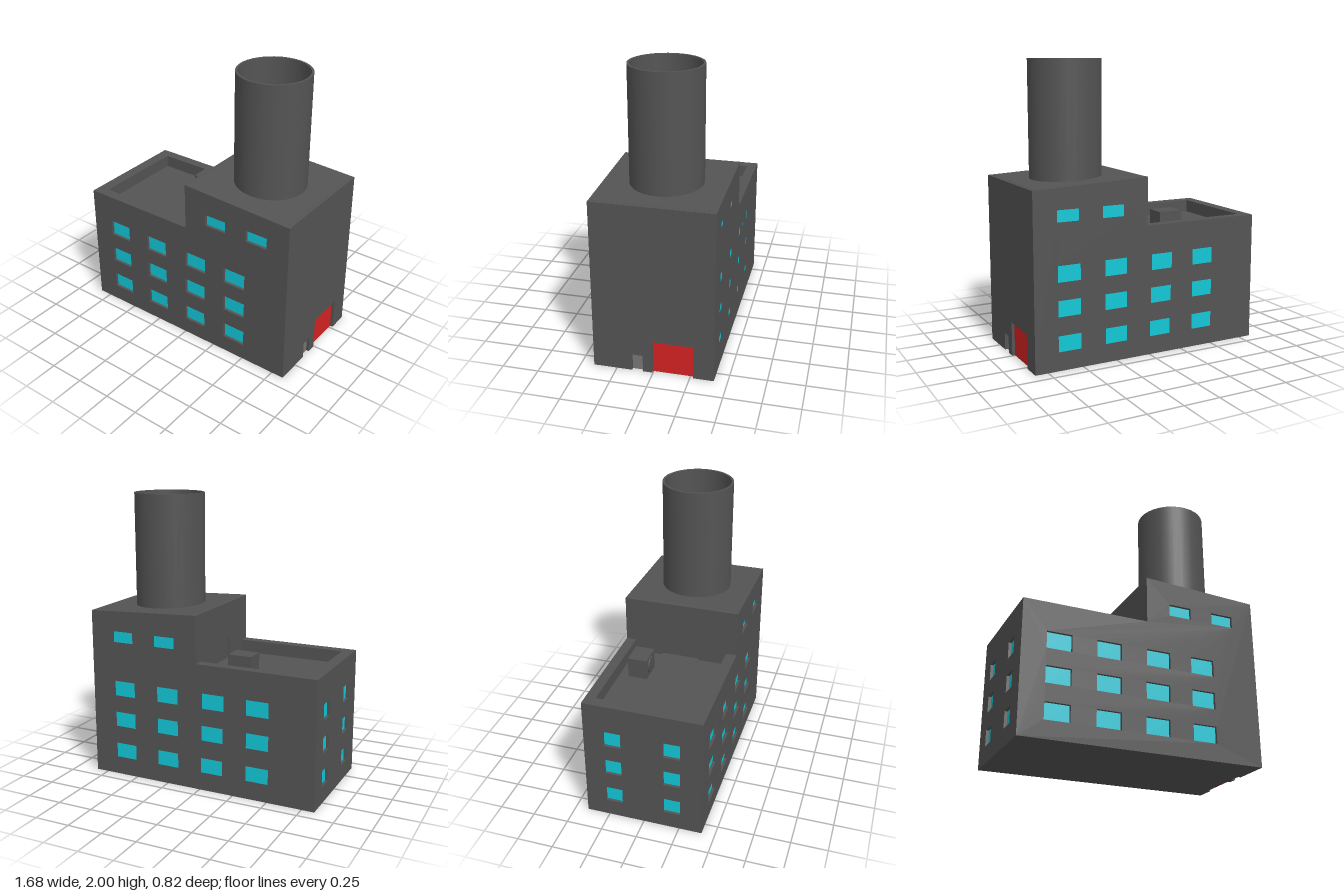
import * as THREE from 'three';

const WALL = new THREE.MeshStandardMaterial({ color: 0x545454, flatShading: true });
const STACK = new THREE.MeshStandardMaterial({ color: 0x545454, side: THREE.DoubleSide });
const GLASS = new THREE.MeshStandardMaterial({ color: 0x12c8d8 });
const RED = new THREE.MeshStandardMaterial({ color: 0xd42222 });
const PALE = new THREE.MeshStandardMaterial({ color: 0x777777 });

const T = 0.025;                 // wall skin thickness
const RECESS = 0.02;             // how deep windows and doors sit
const W = 0.84, D = 0.41;        // half width and half depth
const ROOF = 0.81, PARAPET = 0.9, STEP = 0.02;
const HIGH = 1.23, LOW = 1.195;  // sloping tower roof

function add(group, name, geometry, material) {
  const mesh = new THREE.Mesh(geometry, material);
  mesh.name = name;
  group.add(mesh);
  return mesh;
}

// box given by its minimum and maximum corners
function block(group, name, a, b, material = WALL) {
  const mesh = add(group, name, new THREE.BoxGeometry(b[0] - a[0], b[1] - a[1], b[2] - a[2]), material);
  mesh.position.set((a[0] + b[0]) / 2, (a[1] + b[1]) / 2, (a[2] + b[2]) / 2);
  return mesh;
}

const shapeOf = (pts) => new THREE.Shape(pts.map(([x, y]) => new THREE.Vector2(x, y)));

// wall skin facing local +z, with recessed panels: [name, x0, x1, y0, y1, material]
function wall(name, outline, panels) {
  const group = new THREE.Group();
  group.name = name;
  const shape = shapeOf(outline);
  for (const [label, x0, x1, y0, y1, material] of panels) {
    if (label === 'window') {
      shape.holes.push(new THREE.Path(
        [[x0, y0], [x0, y1], [x1, y1], [x1, y0]].map(([x, y]) => new THREE.Vector2(x, y))));
    }
    block(group, label, [x0, y0, -RECESS - 0.01], [x1, y1, -RECESS], material);
  }
  const skin = new THREE.ExtrudeGeometry(shape, { depth: T, bevelEnabled: false });
  skin.translate(0, 0, -T);
  add(group, name + 'Skin', skin, WALL);
  return group;
}

// rectangular outline with door notches cut up from its base
function notched(half, base, top, doors) {
  const pts = [[-half, base]];
  for (const [, x0, x1, , y1] of doors) pts.push([x0, base], [x0, y1], [x1, y1], [x1, base]);
  pts.push([half, base], [half, top], [-half, top]);
  return pts;
}

export function createModel() {
  const model = new THREE.Group();
  model.name = 'factory';
  const rows = [0.12, 0.355, 0.585];
  const side = D - T;

  // front and back walls with their window grids
  for (const s of [1, -1]) {
    const outline = [[-W, 0], [W, 0], [W, LOW], [STEP, HIGH], [STEP, PARAPET], [-W, PARAPET]]
      .map(([x, y]) => [s * x, y]);
    const windows = [];
    rows.forEach((y, r) => {
      for (const x of [-0.59, -0.25, 0.087 + 0.006 * r, 0.425]) {
        windows.push(['window', x - 0.085, x + 0.085, y, y + 0.115, GLASS]);
      }
    });
    for (const x of [0.27, 0.595]) {
      windows.push(['window', s * x - 0.081, s * x + 0.081, 0.977, 1.06, GLASS]);
    }
    const w = wall(s > 0 ? 'frontWall' : 'backWall', outline, windows);
    w.position.z = s * D;
    if (s < 0) w.rotation.y = Math.PI;
    model.add(w);
  }

  // end wall with windows
  const endWindows = [];
  for (const y of rows) for (const z of [-0.21, 0.2]) {
    endWindows.push(['window', z - 0.06, z + 0.06, y, y + 0.115, GLASS]);
  }
  const endWall = wall('windowEndWall', notched(side, 0, PARAPET, []), endWindows);
  endWall.position.x = -W;
  endWall.rotation.y = -Math.PI / 2;
  model.add(endWall);

  // end wall with the loading gate and small door
  const doors = [['smallDoor', -0.145, -0.07, 0, 0.12, PALE], ['loadingGate', -0.005, 0.27, 0, 0.235, RED]];
  const doorWall = wall('doorEndWall', notched(side, 0, LOW, doors), doors);
  doorWall.position.x = W;
  doorWall.rotation.y = Math.PI / 2;
  model.add(doorWall);

  // tower wall with the roof access door
  const access = [['roofDoor', -0.14, 0.13, ROOF, 0.98, WALL]];
  const towerWall = wall('towerWall', notched(side, ROOF, HIGH - 0.001, access), access);
  towerWall.position.x = STEP;
  towerWall.rotation.y = -Math.PI / 2;
  model.add(towerWall);

  // solid core carrying the flat roof, and the sloped tower core
  block(model, 'buildingCore', [-W + T, 0, -side], [W - T, ROOF, side]);
  const slope = (x) => HIGH + (LOW - HIGH) * (x - STEP) / (W - STEP);
  const x0 = STEP + T, x1 = W - T;
  const tower = new THREE.ExtrudeGeometry(
    shapeOf([[x0, ROOF], [x1, ROOF], [x1, slope(x1)], [x0, slope(x0)]]),
    { depth: 2 * side, bevelEnabled: false });
  tower.translate(0, 0, -side);
  add(model, 'towerCore', tower, WALL);

  // parapet around the low roof
  block(model, 'parapetEnd', [-W + T, ROOF, -side], [-0.76, PARAPET, side]);
  block(model, 'parapetFront', [-0.76, ROOF, 0.335], [STEP, PARAPET, side]);
  block(model, 'parapetBack', [-0.76, ROOF, -side], [STEP, PARAPET, -0.34]);

  // rooftop ventilation unit with a round fan cover
  block(model, 'ventUnit', [-0.325, ROOF, -0.275], [-0.155, 0.955, -0.14]);
  const fan = add(model, 'ventFan', new THREE.CylinderGeometry(0.057, 0.057, 0.02, 24), WALL);
  fan.rotation.x = Math.PI / 2;
  fan.position.set(-0.24, 0.885, -0.141);

  // hollow chimney
  const chimney = new THREE.Group();
  chimney.name = 'chimney';
  chimney.position.x = 0.43;
  for (const [name, r] of [['chimneyOuter', 0.247], ['chimneyInner', 0.232]]) {
    add(chimney, name, new THREE.CylinderGeometry(r, r, 0.81, 32, 1, true), STACK).position.y = 1.595;
  }
  const rim = new THREE.RingGeometry(0.232, 0.247, 32);
  rim.rotateX(-Math.PI / 2);
  add(chimney, 'chimneyRim', rim, STACK).position.y = 2;
  model.add(chimney);

  return model;
}
